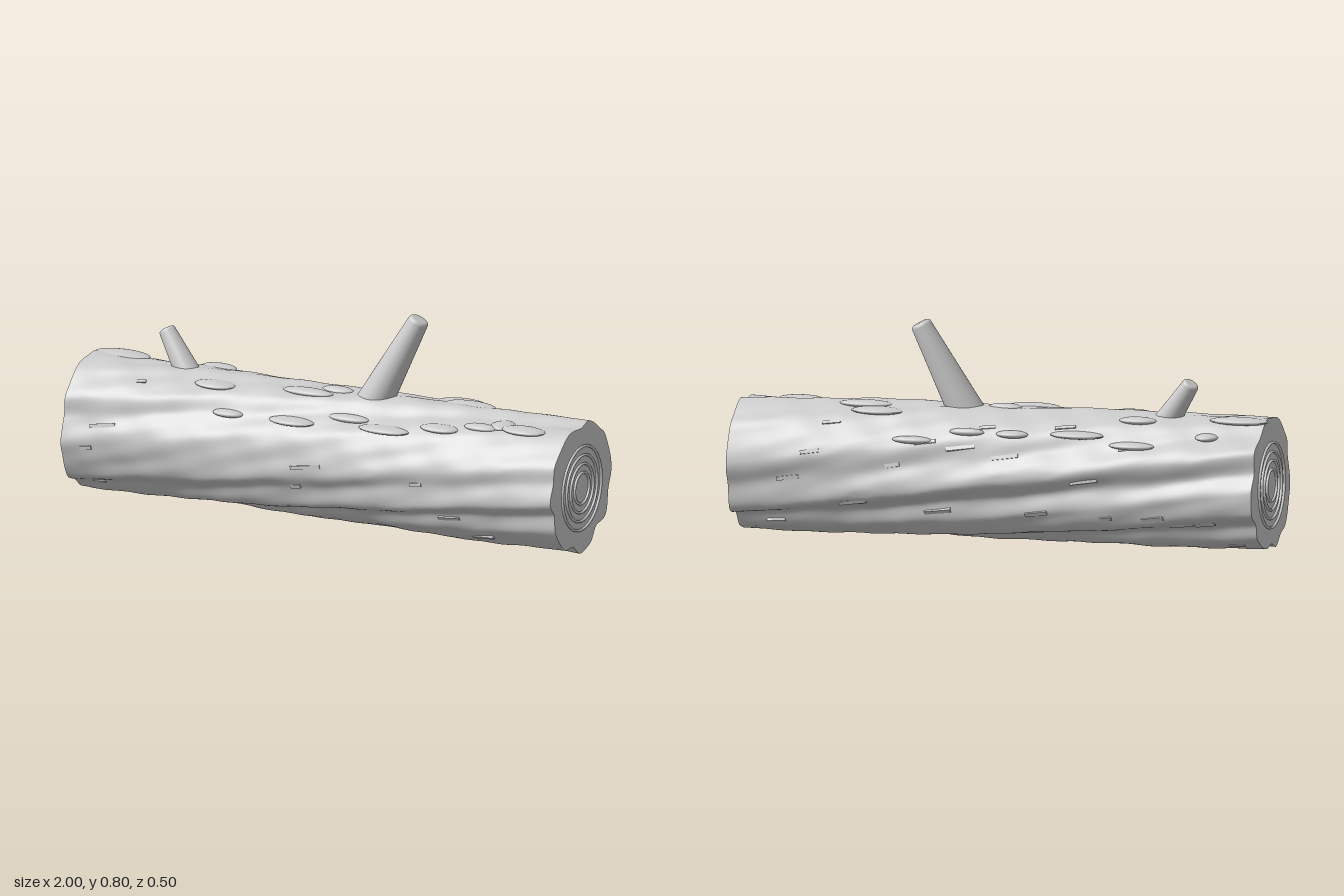
import * as THREE from 'three';

const HALF = 0.99, CY = 0.25, TWIST = 0.65;

// Lobed cross-section of the trunk: [degrees from front towards top, radius]
const PROFILE = [
  [0, 0.245], [18, 0.231], [32, 0.247], [48, 0.24], [65, 0.242], [90, 0.223], [107, 0.246],
  [128, 0.241], [140, 0.248], [153, 0.244], [175, 0.247], [195, 0.228], [217, 0.249],
  [235, 0.212], [253, 0.24], [270, 0.246], [287, 0.215], [303, 0.239], [329, 0.235],
  [346, 0.217], [360, 0.245],
];

function profileRadius(angle) {
  const d = THREE.MathUtils.euclideanModulo(THREE.MathUtils.radToDeg(angle), 360);
  let k = 0;
  while (k < PROFILE.length - 2 && PROFILE[k + 1][0] <= d) k++;
  const [a, ra] = PROFILE[k], [b, rb] = PROFILE[k + 1];
  return THREE.MathUtils.lerp(ra, rb, THREE.MathUtils.smoothstep(d, a, b));
}

// Lobes spiral along the log, with a slow swell and fine bark waviness
function trunkRadius(x, a) {
  const fade = Math.min(1, (HALF - x) * 4);
  const wave = 0.002 * Math.sin(9 * x + 3 * a) + 0.0015 * Math.sin(31 * x + 7 * a)
    + 0.0012 * Math.sin(17 * a - 23 * x);
  return Math.min(0.2495, profileRadius(a + TWIST * (HALF - x)) + fade * wave);
}

function surfacePoint(x, a, lift = 0) {
  const r = trunkRadius(x, a) + lift;
  return new THREE.Vector3(x, CY + r * Math.sin(a), r * Math.cos(a));
}

function trunkGeometry(nx = 120, na = 144) {
  const pos = [], idx = [];
  for (let i = 0; i <= nx; i++) {
    for (let j = 0; j < na; j++) {
      pos.push(...surfacePoint(-HALF + 2 * HALF * i / nx, j / na * Math.PI * 2).toArray());
    }
  }
  for (let i = 0; i < nx; i++) {
    for (let j = 0; j < na; j++) {
      const k = (j + 1) % na;
      const a = i * na + j, b = a + na, c = (i + 1) * na + k, d = i * na + k;
      idx.push(a, b, c, a, c, d);
    }
  }
  const g = new THREE.BufferGeometry();
  g.setAttribute('position', new THREE.Float32BufferAttribute(pos, 3));
  g.setIndex(idx);
  g.computeVertexNormals();
  return g;
}

// Flat sawn face following the lobed outline
function capGeometry(side, na = 144) {
  const pos = [side * HALF, CY, 0], idx = [];
  for (let j = 0; j < na; j++) {
    pos.push(...surfacePoint(side * HALF, j / na * Math.PI * 2).toArray());
    const a = 1 + j, b = 1 + (j + 1) % na;
    idx.push(0, ...(side > 0 ? [b, a] : [a, b]));
  }
  const g = new THREE.BufferGeometry();
  g.setAttribute('position', new THREE.Float32BufferAttribute(pos, 3));
  g.setIndex(idx);
  g.computeVertexNormals();
  return g;
}

// Tapered stub with a rounded rim, from base to tip
function branch(name, base, tip, r0, r1, material) {
  const from = new THREE.Vector3(...base), dir = new THREE.Vector3(...tip).sub(from);
  const h = dir.length(), e = r1 * 0.35;
  const pts = [new THREE.Vector2(r0, 0), new THREE.Vector2(r1, h - e)];
  for (let k = 1; k <= 4; k++) {
    const t = k / 4 * Math.PI / 2;
    pts.push(new THREE.Vector2(r1 - e + e * Math.cos(t), h - e + e * Math.sin(t)));
  }
  pts.push(new THREE.Vector2(0, h));
  const mesh = new THREE.Mesh(new THREE.LatheGeometry(pts, 32), material);
  mesh.name = name;
  mesh.position.copy(from);
  mesh.quaternion.setFromUnitVectors(new THREE.Vector3(0, 1, 0), dir.normalize());
  return mesh;
}

// Moss pads on the upper side: x, z, half length, half width
const MOSS = [
  [-0.89, -0.06, 0.11, 0.05], [-0.79, -0.14, 0.042, 0.05], [-0.52, -0.185, 0.085, 0.04],
  [-0.31, -0.165, 0.1, 0.047], [-0.52, -0.095, 0.07, 0.036], [-0.07, -0.175, 0.06, 0.035],
  [0.1, -0.175, 0.065, 0.022], [0.3, -0.2, 0.075, 0.026], [0.46, -0.1, 0.1, 0.055],
  [0.52, -0.05, 0.1, 0.04], [0.01, 0, 0.062, 0.03], [-0.08, 0.06, 0.1, 0.033],
  [0.12, 0.14, 0.08, 0.03], [0.28, 0.17, 0.1, 0.04], [0.49, 0.14, 0.075, 0.04],
  [0.64, 0.11, 0.065, 0.03], [0.71, 0.07, 0.045, 0.052], [0.81, 0.1, 0.085, 0.045],
  [-0.44, 0.09, 0.08, 0.045], [-0.35, 0.18, 0.06, 0.03], [-0.09, 0.18, 0.09, 0.042],
];

// Raised bark flecks on the front: x, y, length
const FLECKS = [
  [-0.83, 0.305, 0.1], [-0.89, 0.215, 0.045], [0, 0.26, 0.12], [-0.05, 0.175, 0.04],
  [0.44, 0.25, 0.045], [0.55, 0.115, 0.09], [0.67, 0.06, 0.09], [-0.72, 0.455, 0.035],
  [-0.88, 0.06, 0.05],
];

export function createModel() {
  const model = new THREE.Group();
  model.name = 'fallenLog';
  const wood = new THREE.MeshStandardMaterial({ color: 0xcccccc });
  wood.name = 'pale grey wood';
  const add = (name, geometry, parent = model) => {
    const mesh = new THREE.Mesh(geometry, wood);
    mesh.name = name;
    parent.add(mesh);
    return mesh;
  };

  add('trunk', trunkGeometry());

  // Sawn ends with growth rings
  for (const side of [-1, 1]) {
    const end = new THREE.Group();
    end.name = side > 0 ? 'leftEnd' : 'rightEnd';
    model.add(end);
    add('sawnFace', capGeometry(side), end);
    for (const r of [0.058, 0.09, 0.122, 0.155]) {
      const ring = add('growthRing', new THREE.TorusGeometry(r, 0.005, 8, 64), end);
      ring.rotation.y = Math.PI / 2;
      ring.position.set(side * 0.995, CY, 0);
    }
  }

  model.add(branch('largeBranch', [0.133, 0.42, 0.002], [0.322, 0.788, -0.035], 0.07, 0.038, wood));
  model.add(branch('smallBranch', [-0.585, 0.44, -0.01], [-0.705, 0.615, -0.042], 0.05, 0.031, wood));

  const moss = new THREE.Group();
  moss.name = 'mossPads';
  model.add(moss);
  const pad = new THREE.SphereGeometry(1, 28, 14);
  for (const [x, z, rx, rz] of MOSS) {
    const mesh = add('mossPad', pad, moss);
    mesh.position.copy(surfacePoint(x, Math.acos(z / 0.24)));
    mesh.scale.set(rx, 0.014, rz);
  }

  const flecks = new THREE.Group();
  flecks.name = 'barkFlecks';
  model.add(flecks);
  const fleck = (x, a, length) => {
    const mesh = add('barkFleck', new THREE.BoxGeometry(length, 0.014, 0.012), flecks);
    mesh.position.copy(surfacePoint(x, a, -0.002));
    mesh.rotation.set(-a, 0, TWIST * 0.24);
  };
  for (const [x, y, length] of FLECKS) fleck(x, Math.asin((y - CY) / 0.24), length);

  // Scattered flecks over the back and underside
  let seed = 7;
  const random = () => (seed = (seed * 16807) % 2147483647) / 2147483647;
  for (let i = 0; i < 22; i++) {
    fleck(-0.9 + 1.8 * (i + random()) / 22, 1.9 + 2.5 * random(), 0.04 + 0.07 * random());
  }
  return model;
}
